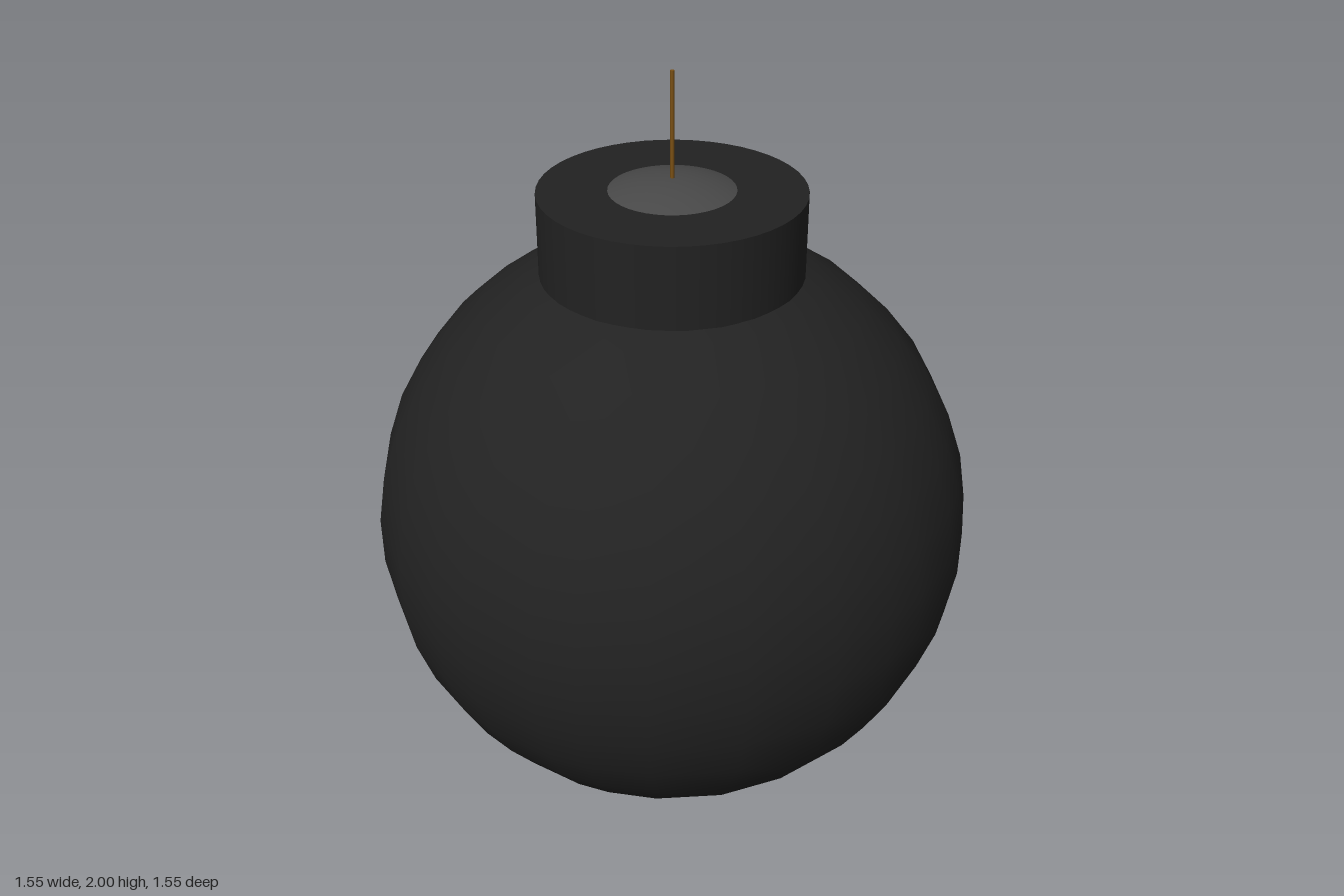
import * as THREE from 'three';

const mat = (color) => new THREE.MeshStandardMaterial({ color });

function add(group, name, geometry, material, y) {
  const mesh = new THREE.Mesh(geometry, material);
  mesh.name = name;
  mesh.position.y = y;
  group.add(mesh);
}

// Globe whose meridians are spread wider towards the diagonals of each quadrant
function globeGeometry(radius) {
  const quadrant = [7.2, 15.5, 28.2, 45, 61.8, 74.5, 82.8];
  const columns = quadrant.length * 4;
  const geo = new THREE.SphereGeometry(radius, columns, 19);
  const pos = geo.attributes.position;
  const normal = geo.attributes.normal;
  const v = new THREE.Vector3();
  for (let i = 0; i < pos.count; i++) {
    const col = i % (columns + 1);
    const degrees = Math.floor(col / 7) * 90 + quadrant[col % 7];
    const a = THREE.MathUtils.degToRad(degrees);
    v.fromBufferAttribute(pos, i);
    const r = Math.hypot(v.x, v.z);
    v.set(-r * Math.cos(a), v.y, r * Math.sin(a));
    pos.setXYZ(i, v.x, v.y, v.z);
    v.normalize();
    normal.setXYZ(i, v.x, v.y, v.z);
  }
  return geo;
}

export function createModel() {
  const group = new THREE.Group();
  group.name = 'roundBomb';
  const black = mat(0x222222);

  // Round body and the collar sunk into its top
  add(group, 'body', globeGeometry(0.785), black, 0.785);
  add(group, 'collar', new THREE.CylinderGeometry(0.332, 0.332, 0.3, 48), black, 1.555);

  // Shallow plug bulging out of the collar
  const plugRadius = 0.43;
  const plug = new THREE.SphereGeometry(plugRadius, 40, 8, 0, Math.PI * 2, 0, Math.asin(0.175 / plugRadius));
  add(group, 'plug', plug, mat(0x484848), 1.735 - plugRadius);

  // Thin fuse
  add(group, 'fuse', new THREE.CylinderGeometry(0.005, 0.005, 0.3, 12), mat(0x7a5014), 1.85);

  return group;
}
